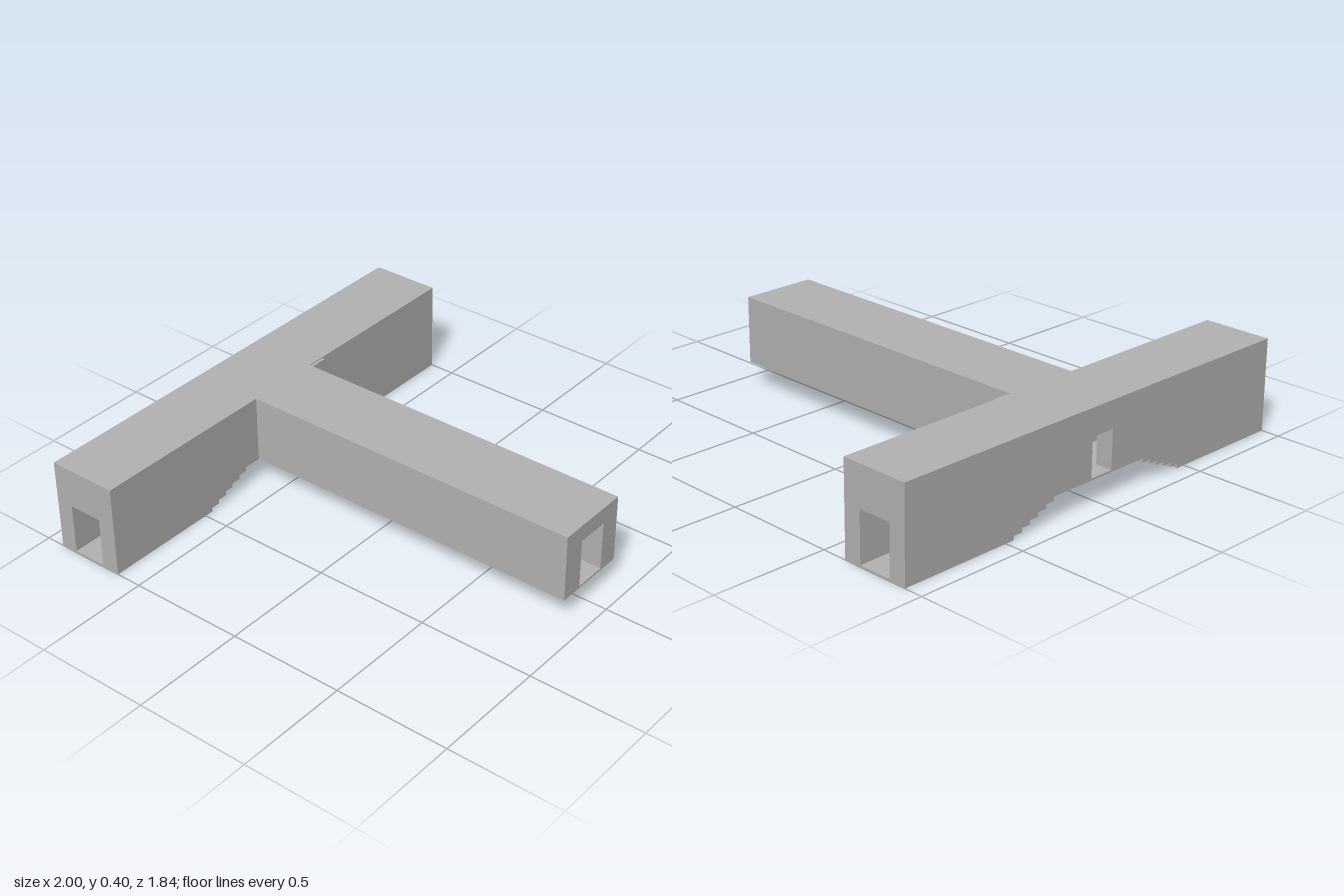
import * as THREE from 'three';

const TOP = 0.398, FLOOR = 0.105, SLAB = 0.008;
const STEPS = 6, TREAD = 0.042, FOOT = 0.46;

const concrete = new THREE.MeshStandardMaterial({ color: 0xb3b3b3 });
concrete.name = 'concrete grey';

// Extrudes an outline in x/y from zBack to zFront
function slab(name, outline, zBack, zFront, hole) {
  const shape = new THREE.Shape(outline.map(p => new THREE.Vector2(...p)));
  if (hole) shape.holes.push(new THREE.Path(hole.map(p => new THREE.Vector2(...p))));
  const geometry = new THREE.ExtrudeGeometry(shape, { depth: zFront - zBack, bevelEnabled: false });
  const mesh = new THREE.Mesh(geometry, concrete);
  mesh.name = name;
  mesh.position.z = zBack;
  return mesh;
}

const rect = (x0, x1, y0, y1) => [[x0, y0], [x1, y0], [x1, y1], [x0, y1]];

// Stepped line from x = -1 to x = 1, lifted by dy and with risers moved out by dx
function stairLine(dx = 0, dy = 0) {
  const half = [[1, dy]];
  for (let i = 0; i < STEPS; i++) {
    const x = FOOT + dx - i * TREAD;
    half.push([x, dy + FLOOR * i / STEPS], [x, dy + FLOOR * (i + 1) / STEPS]);
  }
  return [...half.map(([x, y]) => [-x, y]), ...half.reverse()];
}

export function createModel() {
  const model = new THREE.Group();
  model.name = 'tJunctionCorridor';

  // Cross passage: two side walls with doorways
  const wall = [...stairLine(), [1, TOP], [-1, TOP]];
  const sill = FLOOR + SLAB;
  model.add(slab('backWall', wall, -0.918, -0.842, rect(-0.067, 0.045, sill, 0.28)));
  model.add(slab('junctionWall', wall, -0.692, -0.613, rect(-0.07, 0.073, sill, 0.325)));

  // Cross passage: roof whose ceiling rises with the stairs
  const roof = [[-1, 0.225], [-FOOT, 0.225], [-0.25, 0.325], [0.25, 0.325],
    [FOOT, 0.225], [1, 0.225], [1, TOP], [-1, TOP]];
  model.add(slab('crossRoof', roof, -0.842, -0.692));

  // Cross passage: thin floor with stairs on both sides
  const floor = [...stairLine(), ...stairLine(0.006, SLAB).reverse()];
  model.add(slab('stairFloor', floor, -0.842, -0.692));

  // Long passage with its tunnel
  model.add(slab('longPassage', rect(-0.17, 0.165, FLOOR, TOP), -0.613, 0.9,
    rect(-0.07, 0.073, sill, 0.325)));

  // Front face, just ahead of the roof, and the door sill
  const facade = slab('frontFacade', rect(-0.17, 0.165, FLOOR, TOP), 0.9, 0.917,
    rect(-0.07, 0.073, sill, 0.325));
  model.add(facade);

  // Shallow pier in the inner corner
  model.add(slab('cornerPier', rect(0.165, 0.245, FLOOR, TOP - 0.004), -0.613, -0.6));

  return model;
}
